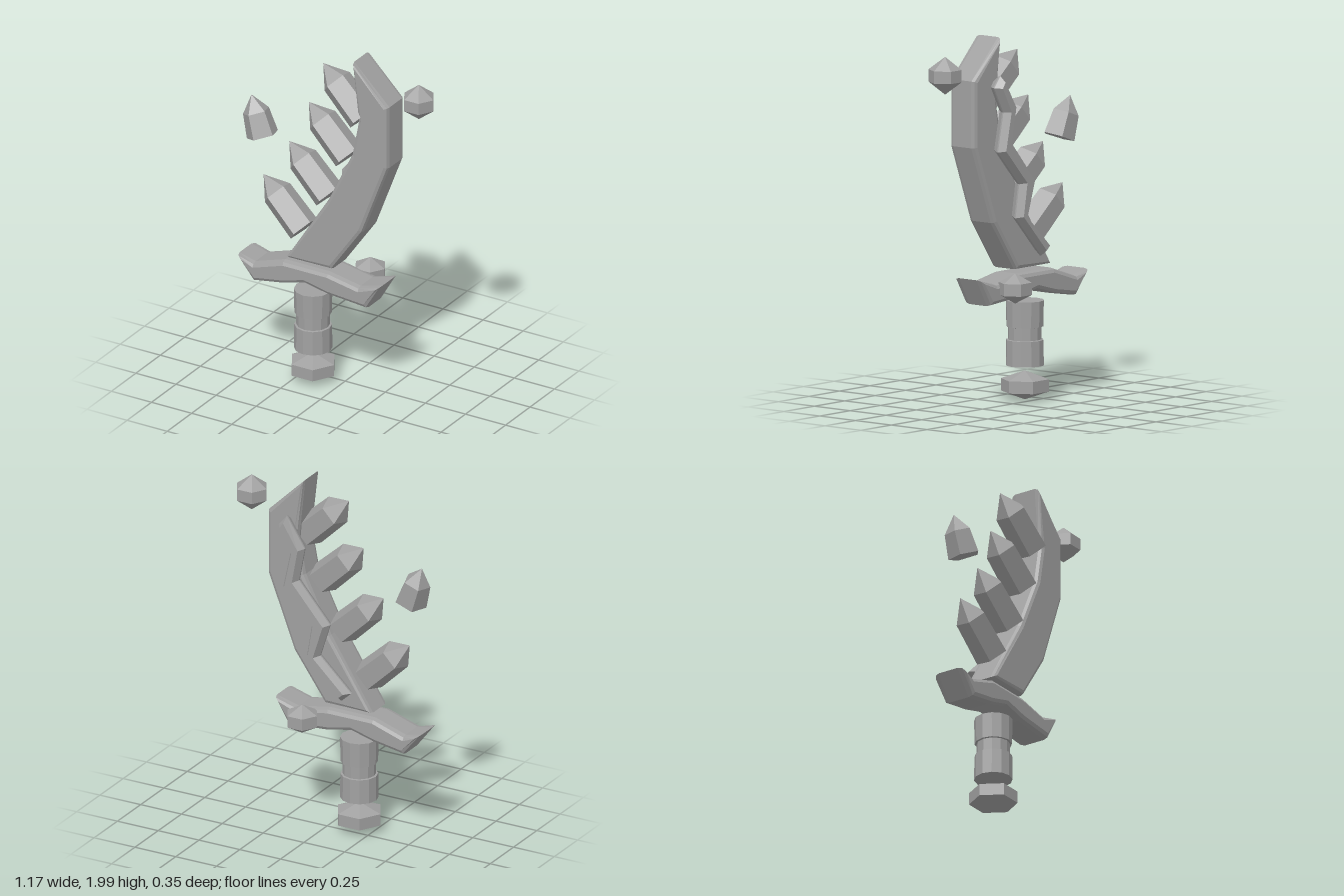
import * as THREE from 'three';

const stone = new THREE.MeshStandardMaterial({ color: 0xa0a0a0 });
stone.name = 'grey';
stone.flatShading = true;

const MID_Z = 0.057; // middle plane of blade, guard and grip

function add(group, name, geometry, x = 0, y = 0, z = 0) {
  const mesh = new THREE.Mesh(geometry, stone);
  mesh.name = name;
  mesh.position.set(x, y, z);
  group.add(mesh);
  return mesh;
}

// Bevelled slab from a front outline, kept inside that outline, centred on z = 0
function slab(points, thickness, bevel, bevelZ, segments) {
  const shape = new THREE.Shape(points.map(([x, y]) => new THREE.Vector2(x, y)));
  const depth = thickness - 2 * bevelZ;
  return new THREE.ExtrudeGeometry(shape, {
    depth, bevelEnabled: true, bevelSize: bevel, bevelOffset: -bevel,
    bevelThickness: bevelZ, bevelSegments: segments,
  }).translate(0, 0, -depth / 2);
}

function turned(profile, sides, start = 0) {
  const points = profile.map(([r, y]) => new THREE.Vector2(r, y));
  return new THREE.LatheGeometry(points, sides, start);
}

// Six-sided stone: a short band between two low pyramids
function gem(radius, halfHeight, halfBand) {
  return turned([[0, -halfHeight], [radius, -halfBand], [radius, halfBand], [0, halfHeight]], 6, Math.PI / 6);
}

// Five-sided crystal with a ridge to the front, leaning slightly back
function crystal(baseRadius, shoulderRadius, shoulder, length) {
  return turned([[0, 0], [baseRadius, 0], [shoulderRadius, shoulder], [0, length]], 5).rotateX(-0.07);
}

export function createModel() {
  const sword = new THREE.Group();
  sword.name = 'sword';

  // Curved blade
  add(sword, 'blade', slab([
    [-0.285, 0.73], [0, 0.73], [0.19, 1.0], [0.35, 1.42], [0.35, 1.78],
    [0.13, 1.995], [0.165, 1.66], [0.125, 1.45], [-0.03, 1.13],
  ], 0.178, 0.022, 0.026, 2), 0, 0, MID_Z);

  // Guard with upswept ends
  add(sword, 'guard', slab([
    [-0.485, 0.537], [-0.3, 0.568], [-0.165, 0.605], [-0.02, 0.575], [0.22, 0.556], [0.305, 0.705],
    [0.17, 0.67], [-0.02, 0.705], [-0.3, 0.705], [-0.485, 0.645], [-0.587, 0.67],
  ], 0.194, 0.024, 0.036, 2), 0, 0, MID_Z);

  // Grip with a narrow waist, and pommel
  add(sword, 'grip', turned([
    [0, 0.19], [0.103, 0.19], [0.101, 0.328], [0.09, 0.33],
    [0.09, 0.398], [0.1, 0.4], [0.103, 0.54], [0, 0.54],
  ], 12), -0.165, 0, MID_Z);
  add(sword, 'pommel', gem(0.13, 0.078, 0.033), -0.165, 0.083, MID_Z);

  // Crystals along the inner edge, placed by their tips
  [[-0.475, 1.14], [-0.315, 1.38], [-0.193, 1.645], [-0.103, 1.9]].forEach(([x, y], i) => {
    const spike = add(sword, `crystal${i + 1}`, crystal(0.093, 0.088, 0.24, 0.361), x + 0.265, y - 0.246, 0.082);
    spike.rotation.z = 0.823;
  });

  // Loose crystal and floating stone
  const loose = add(sword, 'looseCrystal', crystal(0.09, 0.075, 0.135, 0.231), -0.466, 1.383, 0.08);
  loose.rotation.z = 0.35;
  add(sword, 'floatingStone', gem(0.09, 0.102, 0.033), 0.493, 1.822, 0.055);

  // Stone on the back of the guard
  add(sword, 'guardStone', gem(0.09, 0.082, 0.033), 0.097, 0.647, -0.098);

  // Zigzag ridge on the back of the blade
  add(sword, 'zigzag', slab([
    [0.2, 1.8], [0.09, 1.63], [0.125, 1.44], [-0.065, 1.22], [-0.005, 1.03], [-0.195, 0.85],
    [-0.135, 0.795], [0.075, 1.02], [0.045, 1.2], [0.22, 1.39], [0.175, 1.6], [0.25, 1.74],
  ], 0.085, 0.022, 0.038, 1), 0, 0, -0.078);

  return sword;
}
